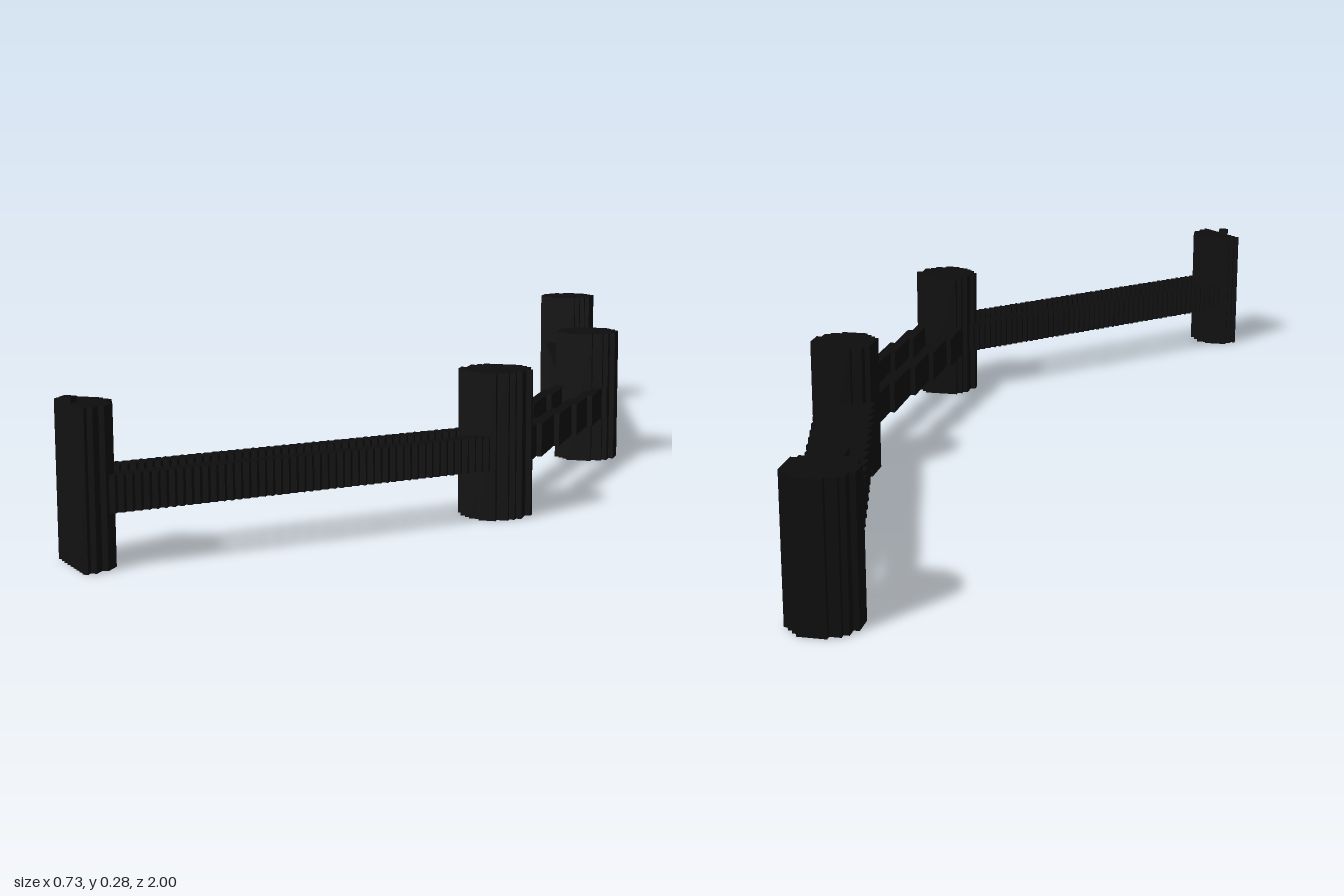
import * as THREE from 'three';
import { mergeGeometries } from 'three/addons/utils/BufferGeometryUtils.js';

const CELL = 2 / 194;
const HEIGHT = CELL * 26;
const RADIUS = 0.0625;

// Fill every grid cell whose centre passes the plan test, one box per run of cells in a row
function blocks(name, material, inside, y0, y1) {
  const boxes = [];
  const x0 = -CELL * 35.5;
  for (let j = 0; j < 194; j++) {
    const z = -1 + (j + 0.5) * CELL;
    let start = -1;
    for (let i = 0; i <= 71; i++) {
      const filled = i < 71 && inside(x0 + (i + 0.5) * CELL, z);
      if (filled && start < 0) start = i;
      if (!filled && start >= 0) {
        const box = new THREE.BoxGeometry((i - start) * CELL, y1 - y0, CELL);
        box.translate(x0 + ((i + start) / 2) * CELL, (y0 + y1) / 2, z);
        boxes.push(box);
        start = -1;
      }
    }
  }
  const mesh = new THREE.Mesh(mergeGeometries(boxes), material);
  mesh.name = name;
  return mesh;
}

// Distance along and across the line from a to b
function along(a, b) {
  const length = Math.hypot(b[0] - a[0], b[1] - a[1]);
  const dx = (b[0] - a[0]) / length, dz = (b[1] - a[1]) / length;
  return (x, z) => ({
    t: (x - a[0]) * dx + (z - a[1]) * dz,
    across: (x - a[0]) * dz - (z - a[1]) * dx,
    length,
  });
}

export function createModel() {
  const group = new THREE.Group();
  group.name = 'fence';
  const black = new THREE.MeshStandardMaterial({ color: 0x0d0d0d, flatShading: true });

  // Post centres in plan, from the back to the front
  const posts = [[0.12, -0.938], [0.301, -0.218], [0.247, 0.388], [-0.318, 0.95]];
  const lastSpan = along(posts[3], posts[2]);

  // Round posts; the front one is cut flat on its outer side
  posts.forEach(([px, pz], k) => {
    group.add(blocks('post' + (k + 1), black, (x, z) =>
      Math.hypot(x - px, z - pz) < RADIUS && (k < 3 || lastSpan(x, z).t > -0.005), 0, HEIGHT));
  });

  // Twin rails between neighbouring posts
  for (let k = 0; k < 3; k++) {
    const span = along(posts[k], posts[k + 1]);
    for (const side of [-1, 1]) {
      group.add(blocks(side < 0 ? 'leftRail' : 'rightRail', black, (x, z) => {
        const { t, across, length } = span(x, z);
        const o = across * side;
        return t > 0 && t < length && o > 0.027 && o < 0.054;
      }, CELL * 9, CELL * 15));
    }
  }

  // Wedge that closes the gap between the rails of the back span
  const backSpan = along(posts[0], posts[1]);
  group.add(blocks('railFill', black, (x, z) => {
    const { t, across, length } = backSpan(x, z);
    return t > 0.06 && t < length && across < 0.03 &&
      across > Math.max(-0.03, 0.03 - 0.06 * (t / 0.5));
  }, CELL * 9, CELL * 15));

  // Small nub on top of the front post
  const nub = new THREE.Mesh(new THREE.BoxGeometry(CELL * 2, CELL, CELL * 2), black);
  nub.position.set(-0.325, HEIGHT + CELL / 2, 0.95);
  nub.name = 'nub';
  group.add(nub);

  return group;
}
